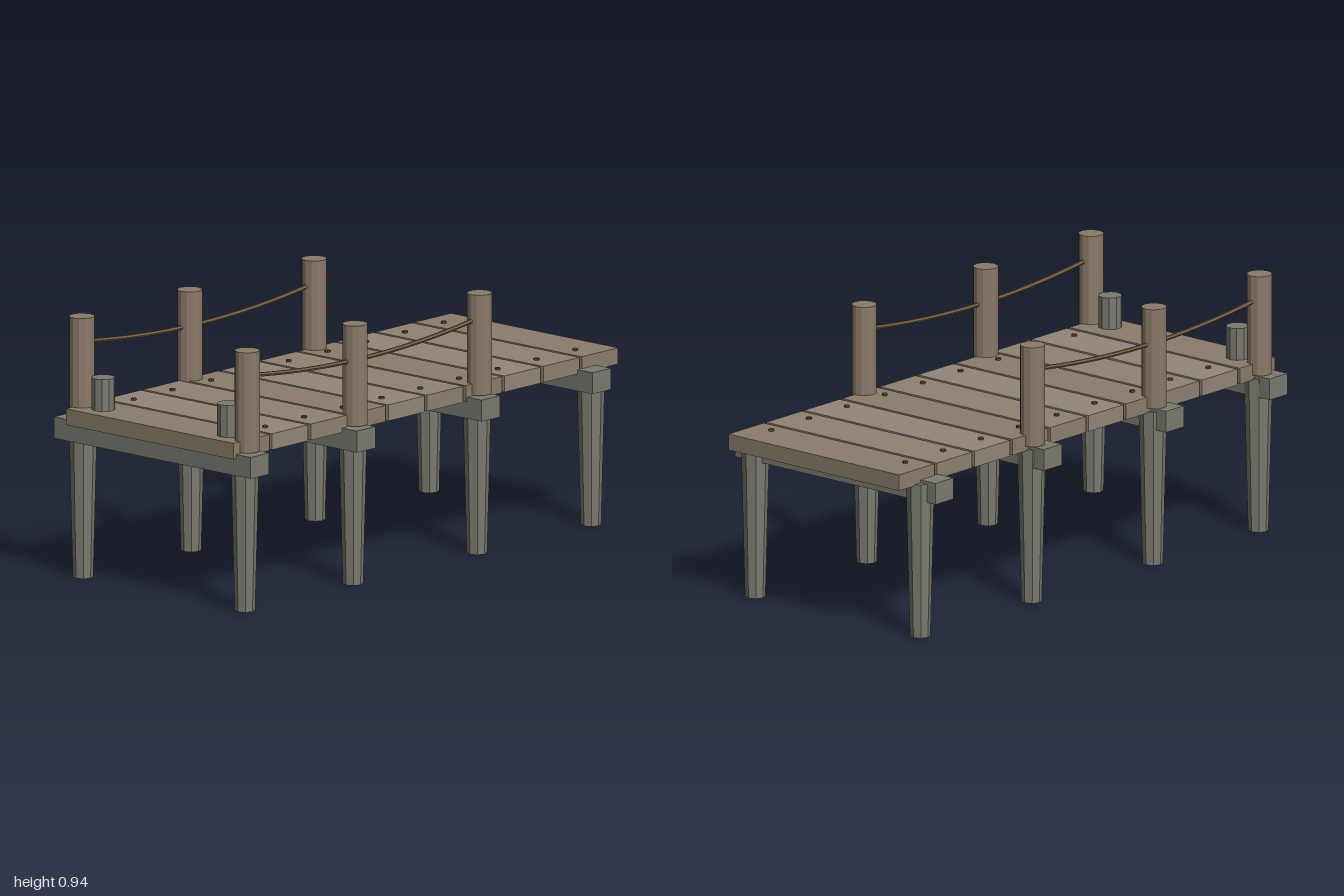
import * as THREE from 'three';

const mat = (color) => new THREE.MeshStandardMaterial({ color, flatShading: true });

export function createModel() {
  const group = new THREE.Group();
  const plankMats = [0x8b7d6b, 0x94877a, 0x8f8272].map(mat);
  const weathered = mat(0x7a7a70);
  const postWood = mat(0x8a7a68);
  const ropeMat = mat(0x7a6248);
  const iron = mat(0x5c5146);

  const add = (name, geometry, material, x, y, z) => {
    const mesh = new THREE.Mesh(geometry, material);
    mesh.name = name;
    mesh.position.set(x, y, z);
    group.add(mesh);
    return mesh;
  };

  // Deck planks with a nail near each end
  const plankGeo = new THREE.BoxGeometry(0.794, 0.058, 0.188);
  const nailGeo = new THREE.CylinderGeometry(0.01, 0.01, 0.012, 8);
  for (let i = 0; i < 10; i++) {
    const z = 0.906 - i * 0.2013;
    add('plank', plankGeo, plankMats[i % 3], 0, 0.586, z);
    for (const s of [-1, 1]) add('nail', nailGeo, iron, s * 0.312, 0.616, z + 0.036);
  }

  // Cross beams under the deck
  const beamGeo = new THREE.BoxGeometry(0.934, 0.077, 0.096);
  for (const z of [0.938, 0.387, -0.262, -0.837]) add('crossBeam', beamGeo, weathered, 0, 0.534, z);

  // Tapered piles
  const pileGeo = new THREE.CylinderGeometry(0.05, 0.036, 0.562, 8);
  const postGeo = new THREE.CylinderGeometry(0.045, 0.045, 0.361, 12);
  const bollardGeo = new THREE.CylinderGeometry(0.042, 0.042, 0.115, 10);

  // Sagging handrail rope, passing through the three posts of a side
  const ropeCurve = new THREE.QuadraticBezierCurve3(
    new THREE.Vector3(0, 0.846, 0.922),
    new THREE.Vector3(0, 0.762, 0.319),
    new THREE.Vector3(0, 0.846, -0.284)
  );
  const ropeGeo = new THREE.TubeGeometry(ropeCurve, 16, 0.008, 6);

  for (const s of [-1, 1]) {
    for (const z of [0.925, 0.364, -0.28, -0.872]) add('pile', pileGeo, weathered, s * 0.384, 0.281, z);
    for (const z of [0.922, 0.362, -0.284]) add('railPost', postGeo, postWood, s * 0.392, 0.7555, z);
    add('mooringBollard', bollardGeo, weathered, s * 0.297, 0.6725, 0.915);
    add('rope', ropeGeo, ropeMat, s * 0.392, 0, 0);
  }
  return group;
}
